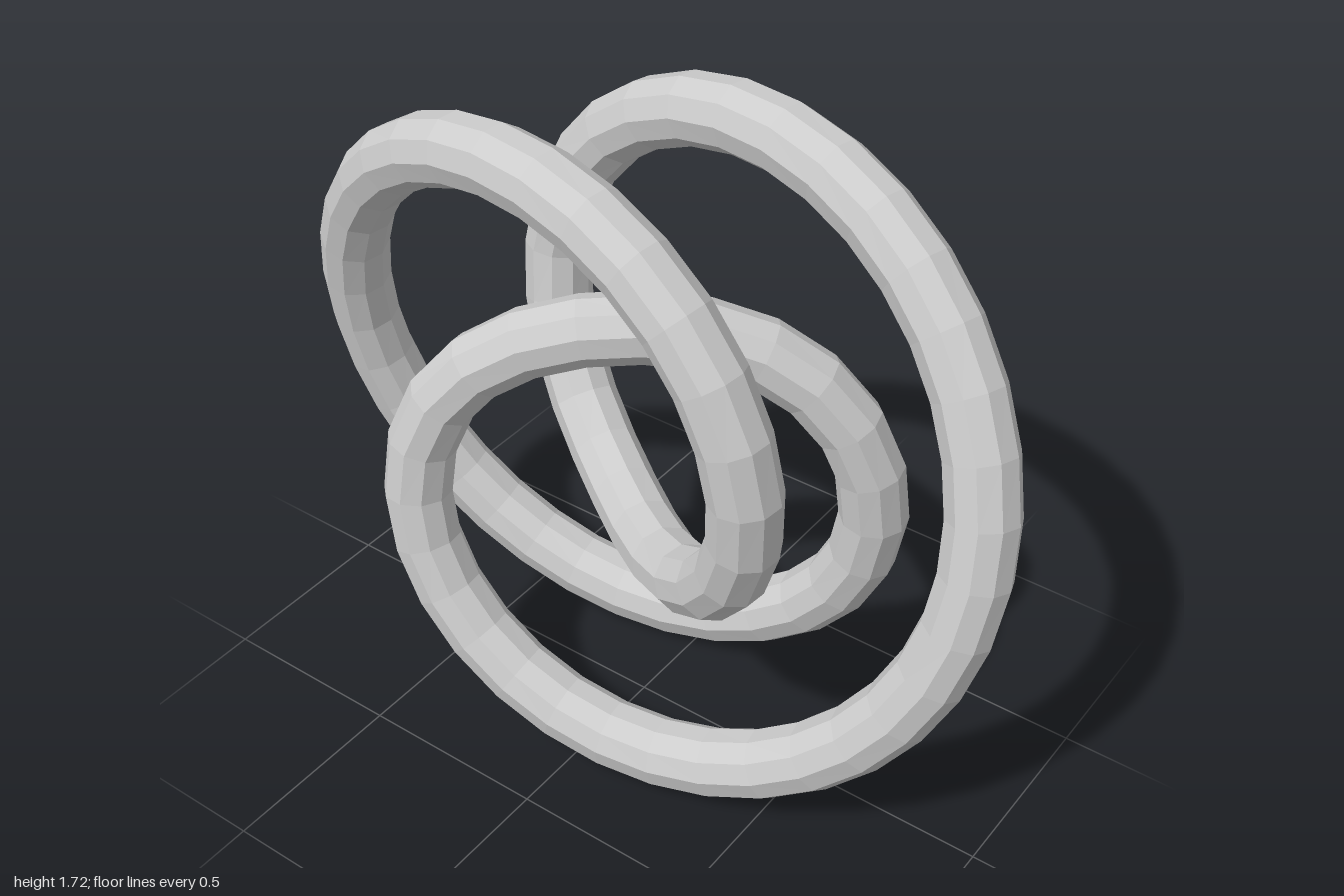
import * as THREE from 'three';

// Closed trefoil path: winds three times round the z axis and twice round the ring
class KnotCurve extends THREE.Curve {
  constructor(scale) {
    super();
    this.scale = scale;
  }
  getPoint(u, target = new THREE.Vector3()) {
    const t = u * Math.PI * 2;
    const r = 2 + Math.cos(2 * t);
    return target
      .set(r * Math.cos(3 * t), r * Math.sin(3 * t), -Math.sin(2 * t))
      .multiplyScalar(this.scale);
  }
}

export function createModel() {
  const model = new THREE.Group();
  model.name = 'trefoilKnot';

  // Faceted round tube swept along the knot
  const geometry = new THREE.TubeGeometry(new KnotCurve(0.304), 84, 0.088, 10, true);
  const material = new THREE.MeshStandardMaterial({ color: 0xcccccc, flatShading: true });
  const tube = new THREE.Mesh(geometry, material);
  tube.name = 'knotTube';

  // Stand it on the ground
  geometry.computeBoundingBox();
  tube.position.y = -geometry.boundingBox.min.y;
  model.add(tube);
  return model;
}
